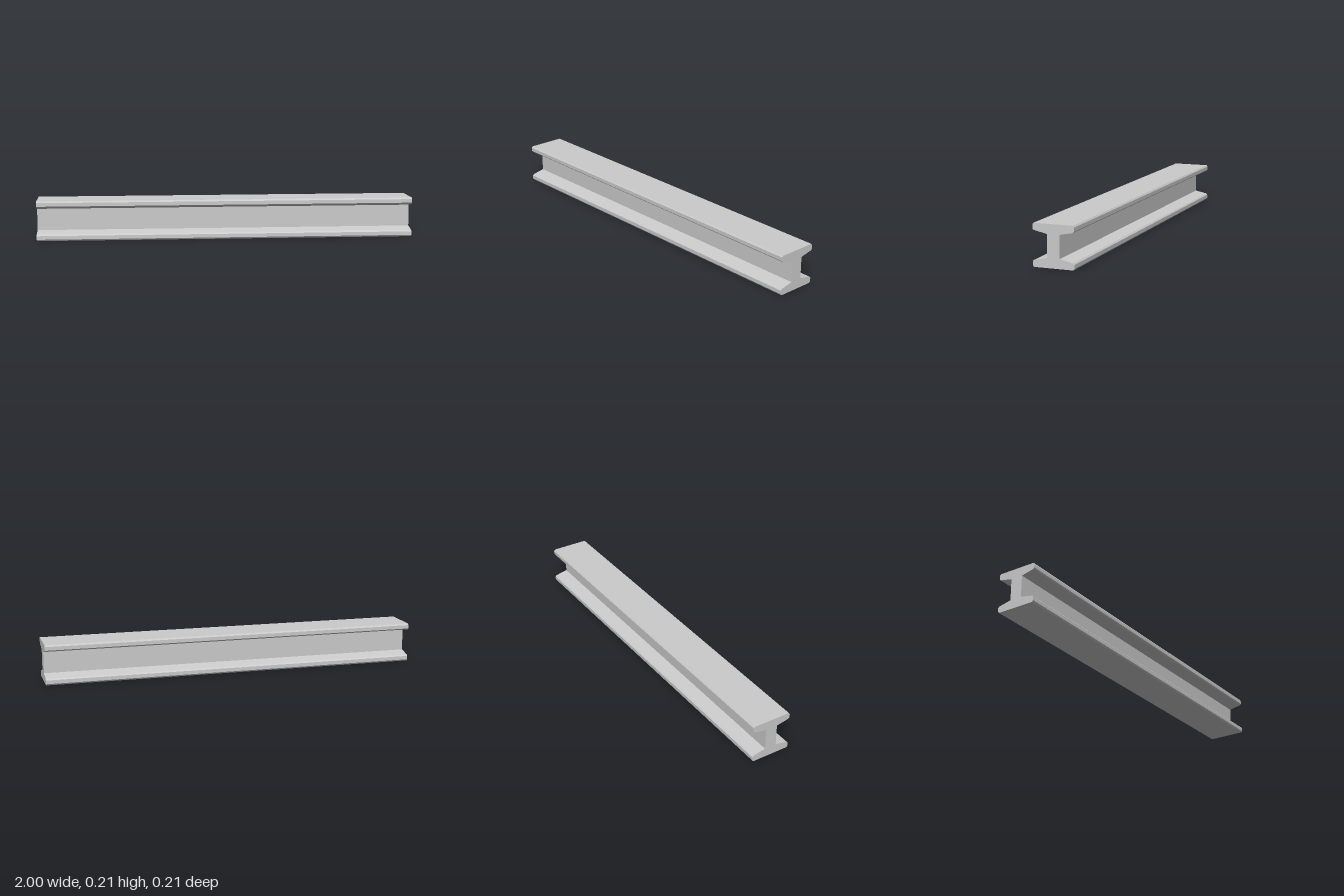
import * as THREE from 'three';

const HEIGHT = 0.21;
const LENGTH = 2;

export function createModel() {
  const group = new THREE.Group();
  group.name = 'steelBeam';

  // Lower right quarter of the I-section, from the base to the web
  const quarter = [
    [0.1, 0], [0.106, 0.008], [0.106, 0.027], [0.099, 0.034], [0.032, 0.048],
  ];
  const right = [...quarter, ...quarter.map(([x, y]) => [x, HEIGHT - y]).reverse()];
  const left = right.map(([x, y]) => [-x, y]).reverse();
  const section = new THREE.Shape([...right, ...left].map(([x, y]) => new THREE.Vector2(x, y)));

  // Sweep the section along x, centred
  const geometry = new THREE.ExtrudeGeometry(section, { depth: LENGTH, bevelEnabled: false });
  geometry.translate(0, 0, -LENGTH / 2);
  geometry.rotateY(Math.PI / 2);

  const beam = new THREE.Mesh(
    geometry,
    new THREE.MeshStandardMaterial({ color: 0xcccccc, flatShading: true }),
  );
  beam.name = 'beam';
  group.add(beam);
  return group;
}
